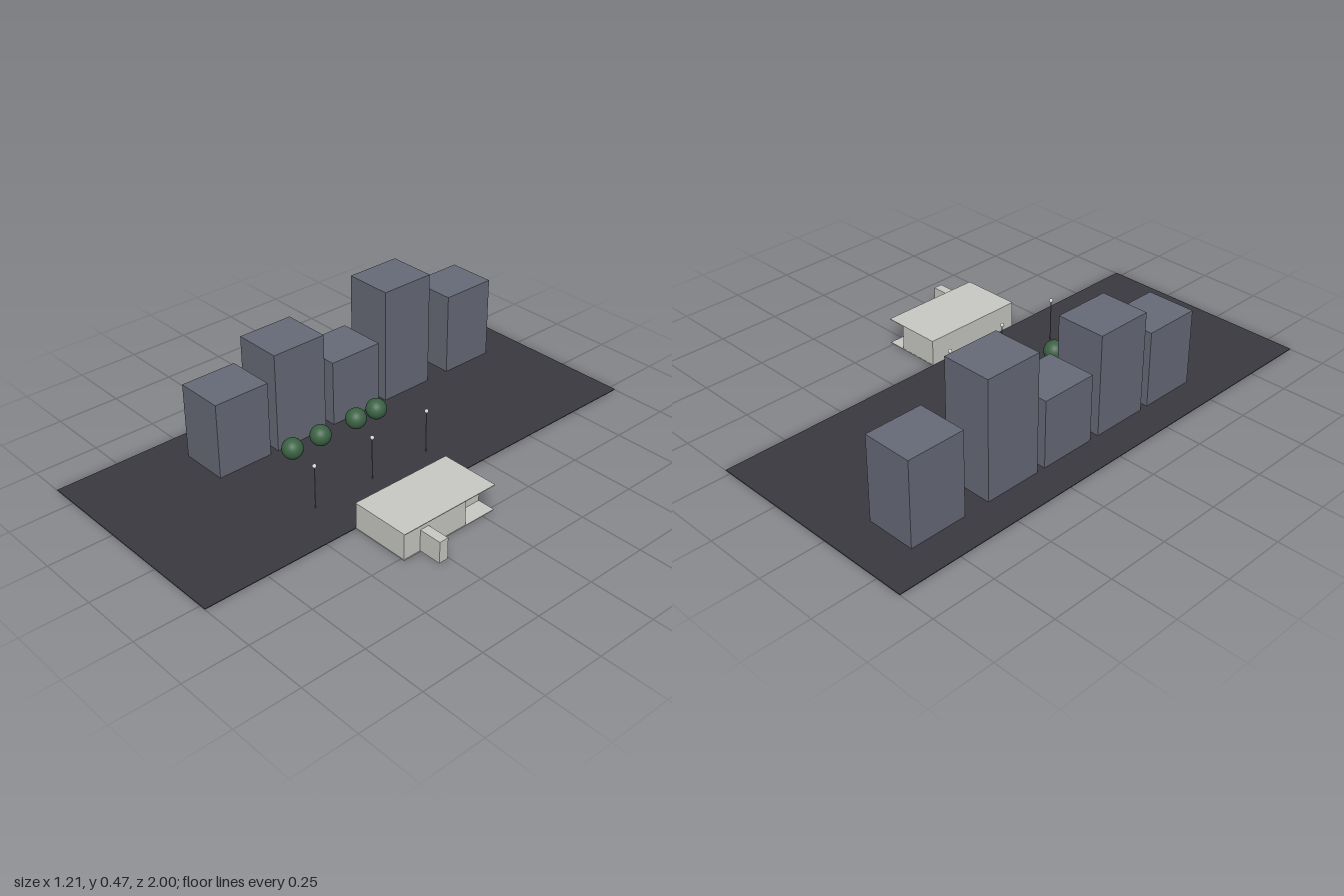
import * as THREE from 'three';

const mat = (name, color) => {
  const m = new THREE.MeshStandardMaterial({ color });
  m.name = name;
  return m;
};

export function createModel() {
  const model = new THREE.Group();
  model.name = 'streetBlock';

  const asphalt = mat('asphalt', 0x3b3a40);
  const concrete = mat('blueGreyConcrete', 0x676b78);
  const plaster = mat('palePlaster', 0xcacac6);
  const foliage = mat('foliageGreen', 0x3c6344);
  const metal = mat('poleGrey', 0x77777a);
  const lampWhite = mat('lampWhite', 0xd4d4d2);

  const add = (name, geometry, material, x = 0, y = 0, z = 0, parent = model) => {
    const mesh = new THREE.Mesh(geometry, material);
    mesh.name = name;
    mesh.position.set(x, y, z);
    parent.add(mesh);
    return mesh;
  };

  // Box given by its min and max on each axis
  const block = (name, material, [x0, x1], [y0, y1], [z0, z1], parent = model) =>
    add(name, new THREE.BoxGeometry(x1 - x0, y1 - y0, z1 - z0), material,
      (x0 + x1) / 2, (y0 + y1) / 2, (z0 + z1) / 2, parent);

  // Ground slab
  block('ground', asphalt, [-0.605, 0.275], [0, 0.003], [-1, 1]);

  // Row of towers: centre z and top height
  [[-0.72, 0.337], [-0.385, 0.472], [-0.12, 0.27], [0.15, 0.404], [0.415, 0.306]].forEach(([z, top], i) =>
    block(`tower${i + 1}`, concrete, [-0.472, -0.275], [0.003, top], [z - 0.115, z + 0.115]));

  // Floating round tree crowns
  const crown = new THREE.SphereGeometry(0.04, 32, 20);
  [-0.07, 0.03, 0.2, 0.33].forEach((z, i) => add(`treeCrown${i + 1}`, crown, foliage, -0.107, 0.123, z));

  // Street lamps
  const pole = new THREE.CylinderGeometry(0.002, 0.002, 0.169, 10);
  const bulb = new THREE.SphereGeometry(0.008, 16, 12);
  [-0.135, 0.13, 0.395].forEach((z, i) => {
    const lamp = new THREE.Group();
    lamp.name = `streetLamp${i + 1}`;
    lamp.position.set(0.093, 0, z);
    add('pole', pole, metal, 0, 0.0875, 0, lamp);
    add('bulb', bulb, lampWhite, 0, 0.177, 0, lamp);
    model.add(lamp);
  });

  // House: notched walls between a full floor plate and a full roof plate
  const house = new THREE.Group();
  house.name = 'house';
  model.add(house);
  block('floorPlate', plaster, [0.276, 0.515], [0, 0.003], [-0.055, 0.37], house);
  block('roofPlate', plaster, [0.275, 0.516], [0.104, 0.107], [-0.055, 0.37], house);

  const plan = [[0.276, 0.369], [0.513, 0.369], [0.513, 0.083], [0.443, 0.083], [0.443, -0.054], [0.276, -0.054]];
  const outline = new THREE.Shape(plan.map(([x, z]) => new THREE.Vector2(x, -z)));
  const walls = new THREE.ExtrudeGeometry(outline, { depth: 0.101, bevelEnabled: false });
  walls.rotateX(-Math.PI / 2);
  add('walls', walls, plaster, 0, 0.003, 0, house);

  // Small side annex
  block('annex', plaster, [0.513, 0.605], [0.003, 0.088], [0.258, 0.296], house);

  return model;
}
